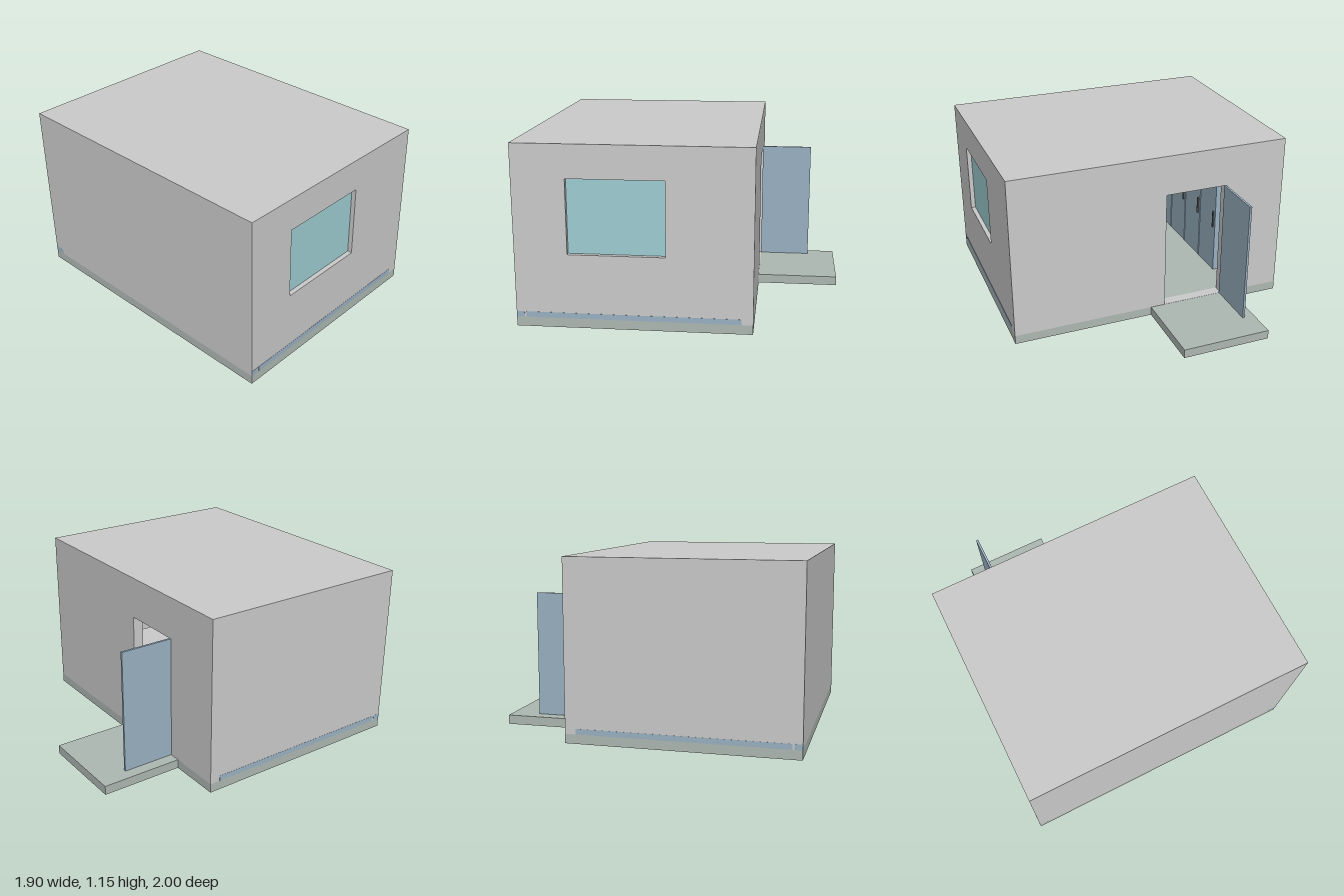
import * as THREE from 'three';

const mat = (color) => new THREE.MeshStandardMaterial({ color });

export function createModel() {
  const house = new THREE.Group();
  house.name = 'house';
  const wallMat = mat(0xcccccc), floorMat = mat(0xafb9b4), blueMat = mat(0x9bb2c3);
  const glassMat = mat(0xa0cfd4), darkMat = mat(0x555a5c);

  // Box given by its extents on each axis
  function box(name, material, [x0, x1], [y0, y1], [z0, z1], parent = house) {
    const mesh = new THREE.Mesh(new THREE.BoxGeometry(x1 - x0, y1 - y0, z1 - z0), material);
    mesh.position.set((x0 + x1) / 2, (y0 + y1) / 2, (z0 + z1) / 2);
    mesh.name = name;
    parent.add(mesh);
    return mesh;
  }

  const X = 0.95, BACK = -0.46, FRONT = 1, T = 0.07, FLOOR = 0.06, TOP = 1.15;
  const CEIL = TOP - T;

  // Wall panel with a rectangular opening, drawn in (along, up)
  function wallWithOpening(name, [a0, a1], [b0, b1], [h0, h1]) {
    const rect = (P, u0, u1, v0, v1) => {
      const p = new P();
      p.moveTo(u0, v0); p.lineTo(u1, v0); p.lineTo(u1, v1); p.lineTo(u0, v1); p.closePath();
      return p;
    };
    const shape = rect(THREE.Shape, a0, a1, FLOOR, CEIL);
    shape.holes.push(rect(THREE.Path, b0, b1, h0, h1));
    const mesh = new THREE.Mesh(
      new THREE.ExtrudeGeometry(shape, { depth: T, bevelEnabled: false }), wallMat);
    mesh.name = name;
    house.add(mesh);
    return mesh;
  }

  // Floor slab and porch
  box('floorSlab', floorMat, [-X, X], [0, FLOOR], [BACK, FRONT]);
  box('porch', floorMat, [-0.6, 0], [0, FLOOR], [-1, BACK]);

  // Shell
  box('roof', wallMat, [-X, X], [CEIL, TOP], [BACK, FRONT]);
  box('frontWall', wallMat, [-X, X], [FLOOR, CEIL], [FRONT - T, FRONT]);
  box('blindSideWall', wallMat, [-X, -X + T], [FLOOR, CEIL], [BACK + T, FRONT - T]);
  const backWall = wallWithOpening('backWall', [-X, X], [-0.525, -0.1], [FLOOR + 0.001, 0.88]);
  backWall.position.z = BACK;
  // Local x runs towards -z once turned
  const windowWall = wallWithOpening('windowWall', [-FRONT + T, -BACK - T], [-0.67, -0.07], [0.47, 0.94]);
  windowWall.rotation.y = Math.PI / 2;
  windowWall.position.x = X - T;

  // Window pane set back in the wall
  box('windowPane', glassMat, [X - 0.045, X - 0.03], [0.47, 0.94], [0.07, 0.67]);

  // Door standing open at a right angle
  box('door', blueMat, [-0.527, -0.512], [FLOOR + 0.003, 0.88], [-0.81, BACK]);

  // Base strips showing along both side walls
  for (const s of [-1, 1]) {
    for (const z of [[BACK + T, 0.94], [0.95, FRONT]]) {
      const strip = box('baseStrip', blueMat, [X - T, X + 0.001], [FLOOR, 0.095], z);
      strip.position.x *= s;
    }
  }

  // Ceiling beams
  for (let i = 0; i < 5; i++) {
    const z = -0.2 + i * 0.24;
    box('ceilingBeam', wallMat, [-X + T, X - T], [CEIL - 0.03, CEIL], [z, z + 0.03]);
  }

  // Cabinet row along the blind side wall
  const cabinets = new THREE.Group();
  cabinets.name = 'cabinets';
  house.add(cabinets);
  for (let i = 0; i < 4; i++) {
    const z = -0.15 + i * 0.25;
    box('cabinet', blueMat, [-X + T, -0.62], [FLOOR, 0.74], [z, z + 0.24], cabinets);
    box('cabinetHandle', darkMat, [-0.62, -0.61], [0.4, 0.52], [z + 0.02, z + 0.03], cabinets);
  }

  // Table
  const table = new THREE.Group();
  table.name = 'table';
  house.add(table);
  box('tableTop', wallMat, [-0.02, 0.6], [0.4, 0.43], [-0.18, 0.3], table);
  for (const x of [0, 0.55]) for (const z of [-0.16, 0.25])
    box('tableLeg', darkMat, [x, x + 0.03], [FLOOR, 0.4], [z, z + 0.03], table);

  return house;
}
